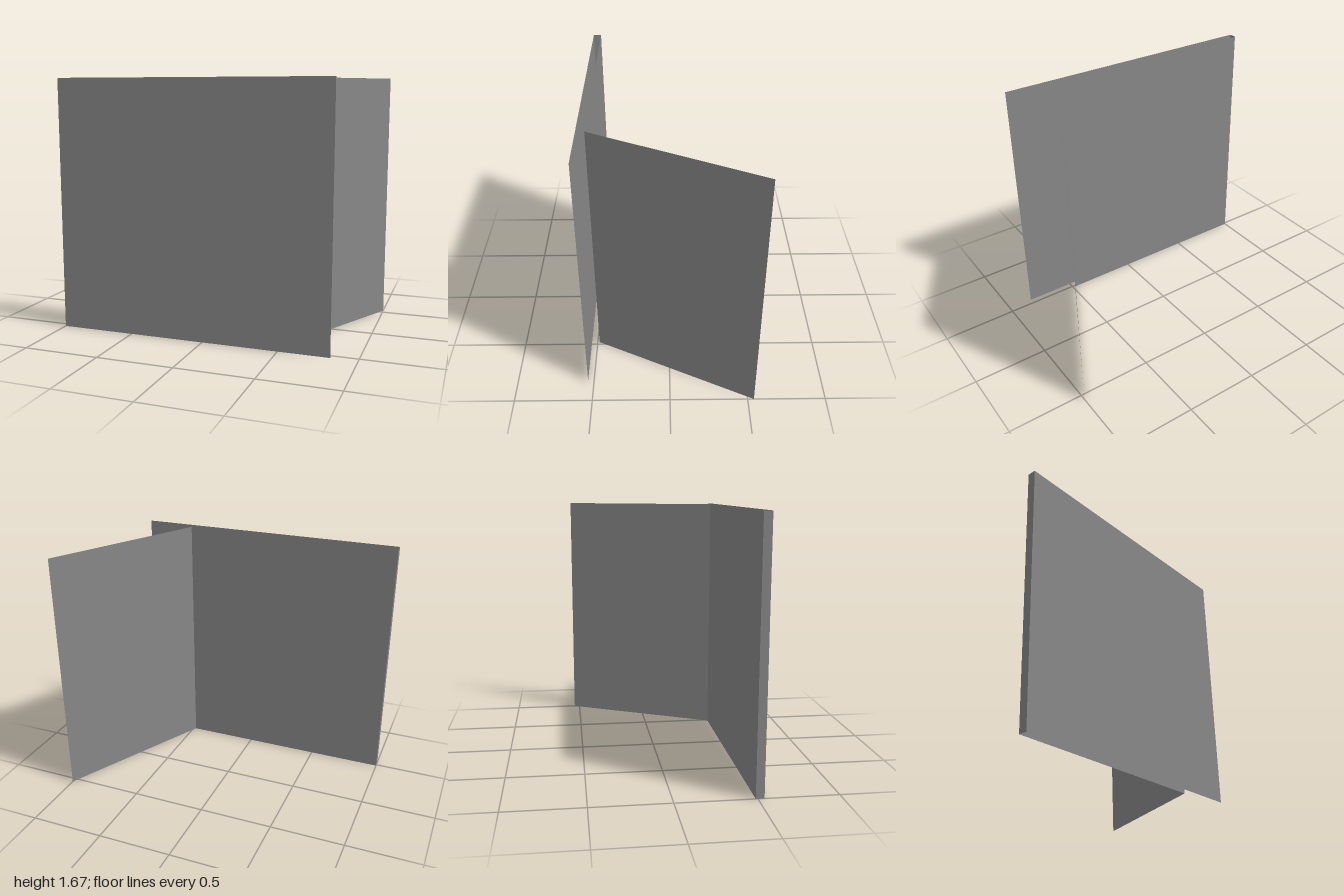
import * as THREE from 'three';

const HEIGHT = 1.675;

// Upright sheet of zero thickness between two floor points [x, z]
function sheet(name, [x1, z1], [x2, z2], material) {
  const length = Math.hypot(x2 - x1, z2 - z1);
  const mesh = new THREE.Mesh(new THREE.PlaneGeometry(length, HEIGHT), material);
  mesh.name = name;
  mesh.position.set((x1 + x2) / 2, HEIGHT / 2, (z1 + z2) / 2);
  mesh.rotation.y = -Math.atan2(z2 - z1, x2 - x1);
  return mesh;
}

export function createModel() {
  const group = new THREE.Group();
  group.name = 'foldedPanel';
  const material = new THREE.MeshStandardMaterial({
    color: 0x888888, flatShading: true, side: THREE.DoubleSide,
  });

  // Fold line in plan: front sheet, narrow end, back sheet, angled wing
  const plan = [[0.832, 0.54], [-1, 0.54], [-1, 0.487], [0.48, 0.487], [1, -0.54]];
  const names = ['frontSheet', 'endStrip', 'backSheet', 'angledWing'];
  names.forEach((name, i) => group.add(sheet(name, plan[i], plan[i + 1], material)));
  return group;
}
